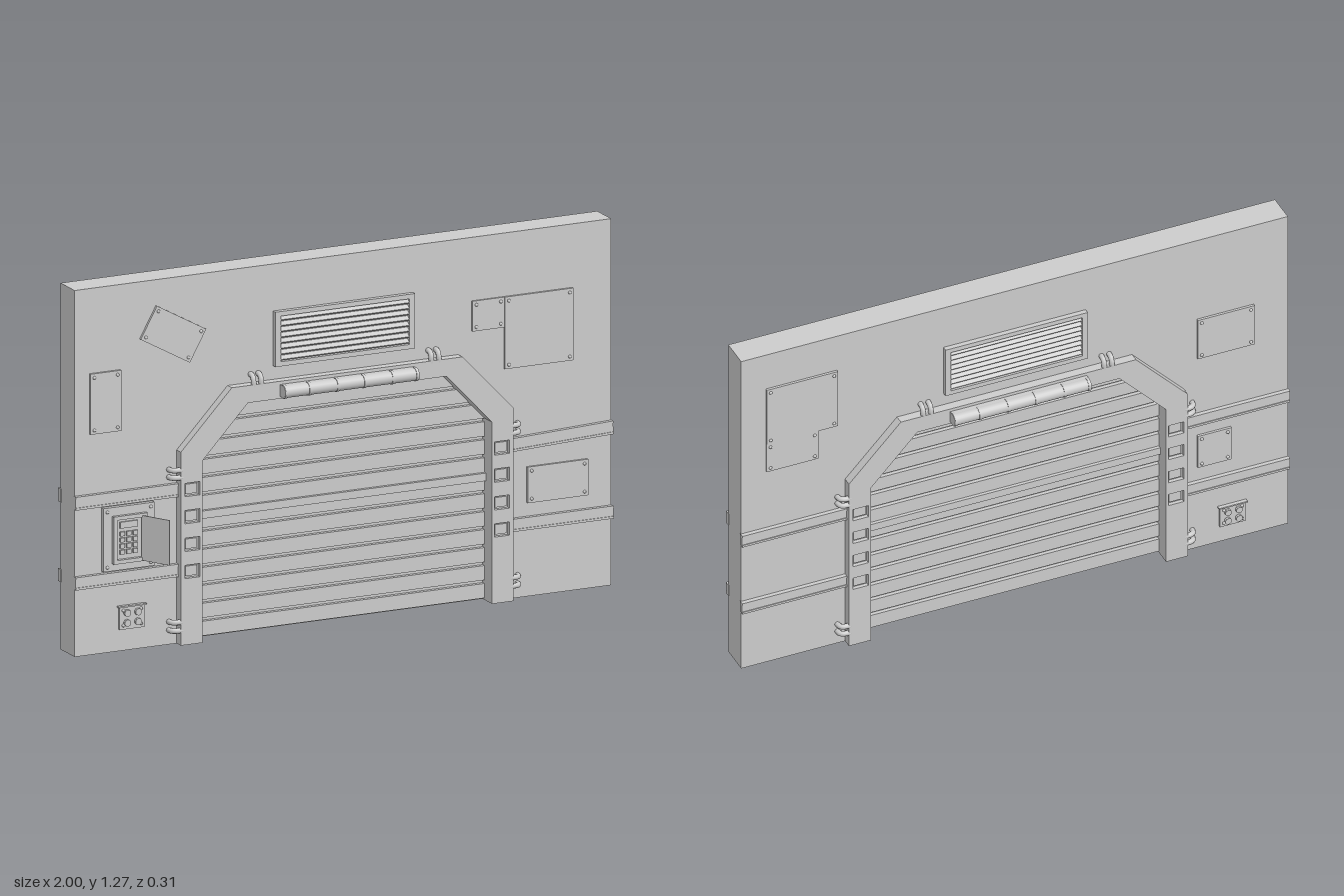
import * as THREE from 'three';

const MAT = new THREE.MeshStandardMaterial({ color: 0xcccccc, flatShading: true });
const SMOOTH = new THREE.MeshStandardMaterial({ color: 0xcccccc });

// Half-depths measured from the wall's middle plane
const WALL = 0.0525, FRAME = 0.0845, DOOR = 0.027, H = 1.27;

const OUTER = [[-0.62, 0], [-0.62, 0.67], [-0.43, 0.87], [0.43, 0.87], [0.62, 0.67], [0.62, 0]];
const INNER = [[0.54, 0], [0.54, 0.63], [0.37, 0.81], [-0.37, 0.81], [-0.54, 0.63], [-0.54, 0]];

function add(parent, name, geo, x = 0, y = 0, z = 0, mat = MAT) {
  const m = new THREE.Mesh(geo, mat);
  m.name = name;
  m.position.set(x, y, z);
  parent.add(m);
  return m;
}

// Box given by its x, y and z limits
function box(parent, name, x0, x1, y0, y1, z0, z1) {
  return add(parent, name, new THREE.BoxGeometry(x1 - x0, y1 - y0, z1 - z0),
    (x0 + x1) / 2, (y0 + y1) / 2, (z0 + z1) / 2);
}

const shapeOf = pts => new THREE.Shape(pts.map(p => new THREE.Vector2(p[0], p[1])));
const rect = (x0, x1, y0, y1) => [[x0, y0], [x1, y0], [x1, y1], [x0, y1]];
const extrude = (shape, depth) => new THREE.ExtrudeGeometry(shape, { depth, bevelEnabled: false });

function bolt(parent, x, y, z, r = 0.006) {
  const b = add(parent, 'bolt', new THREE.SphereGeometry(r, 8, 4, 0, Math.PI * 2, 0, Math.PI / 2), x, y, z, SMOOTH);
  b.rotation.x = Math.PI / 2;
}

// Thin cover plate with a bolt in each corner
function plate(parent, name, x0, x1, y0, y1, angle = 0, thick = 0.009) {
  const g = new THREE.Group(), w = (x1 - x0) / 2, h = (y1 - y0) / 2;
  g.name = name;
  g.position.set((x0 + x1) / 2, (y0 + y1) / 2, WALL);
  g.rotation.z = angle;
  box(g, 'cover', -w, w, -h, h, -0.005, thick);
  for (const i of [-1, 1]) for (const j of [-1, 1]) bolt(g, i * (w - 0.014), j * (h - 0.014), thick);
  parent.add(g);
}

// Small socket: raised plate, four big studs and a lip above
function socket(parent, x, y) {
  plate(parent, 'socketPlate', x - 0.047, x + 0.047, y - 0.04, y + 0.04);
  for (const i of [-1, 1]) for (const j of [-1, 1]) {
    const s = add(parent, 'socketStud', new THREE.CylinderGeometry(0.012, 0.012, 0.014, 10),
      x + i * 0.02, y + j * 0.017, WALL + 0.012);
    s.rotation.x = Math.PI / 2;
  }
  box(parent, 'socketLip', x - 0.052, x + 0.052, y + 0.037, y + 0.042, WALL, WALL + 0.014);
}

// Short cable running out of the frame edge and bending into the wall
function cable(parent, x, y, dx, dy) {
  const p = (o, z) => new THREE.Vector3(x + dx * o, y + dy * o, z);
  const path = new THREE.CatmullRomCurve3([p(-0.01, 0.076), p(0.014, 0.076), p(0.026, 0.068), p(0.03, 0.045)]);
  add(parent, 'cable', new THREE.TubeGeometry(path, 10, 0.0095, 8), 0, 0, 0, SMOOTH);
}

// Half-width of the opening at height y
const halfWidth = y => y < 0.63 ? 0.545 : 0.545 - (y - 0.63) * 0.17 / 0.18;

// Everything that both faces of the wall share
function makeFace(name) {
  const g = new THREE.Group();
  g.name = name;

  // Door frame: solid core and a front skin with square recesses
  add(g, 'frameCore', extrude(shapeOf([...OUTER, ...INNER]), FRAME - 0.014));
  const skin = shapeOf([...OUTER, ...INNER]);
  for (const s of [-1, 1]) for (const y of [0.253, 0.347, 0.443, 0.537]) {
    const x = s * 0.577;
    skin.holes.push(new THREE.Path(rect(x - 0.028, x + 0.028, y - 0.023, y + 0.023).map(p => new THREE.Vector2(...p))));
    box(g, 'recessPad', x - 0.022, x + 0.022, y - 0.017, y + 0.017, 0.06, FRAME - 0.009);
  }
  add(g, 'frameSkin', extrude(skin, 0.014), 0, 0, FRAME - 0.014);

  // Shutter slats, narrowing under the sloped corners
  const pitch = 0.0623;
  for (let i = 0; i < 13; i++) {
    const y0 = i * pitch + 0.006, y1 = (i + 1) * pitch - 0.006;
    const a = halfWidth(y0), b = halfWidth(y1);
    const pts = [[-a, y0], [a, y0]];
    if (y0 < 0.63 && y1 > 0.63) pts.push([a, 0.63]);
    pts.push([b, y1], [-b, y1]);
    if (y0 < 0.63 && y1 > 0.63) pts.push([-a, 0.63]);
    add(g, 'shutterSlat', extrude(shapeOf(pts), 0.014), 0, 0, DOOR - 0.014);
  }
  box(g, 'shutterBar', -0.545, 0.545, 0.415, 0.442, 0, DOOR + 0.012);

  // Lamp tube above the door
  const lampY = 0.838, lampZ = 0.104;
  const lamp = add(g, 'lampTube', new THREE.CylinderGeometry(0.0215, 0.0215, 0.5, 20), 0, lampY, lampZ, SMOOTH);
  lamp.rotation.z = Math.PI / 2;
  box(g, 'lampBase', -0.25, 0.25, lampY - 0.021, lampY + 0.021, FRAME - 0.01, lampZ);
  for (const x of [-0.244, -0.155, -0.05, 0.05, 0.155, 0.244]) {
    const ring = add(g, 'lampClamp', new THREE.CylinderGeometry(0.0235, 0.0235, 0.01, 20), x, lampY, lampZ, SMOOTH);
    ring.rotation.z = Math.PI / 2;
  }

  // Louvred vent
  const rim = shapeOf(rect(-0.26, 0.26, 0.917, 1.107));
  rim.holes.push(new THREE.Path(rect(-0.24, 0.24, 0.933, 1.091).map(p => new THREE.Vector2(...p))));
  add(g, 'ventRim', extrude(rim, 0.018), 0, 0, WALL);
  for (let i = 0; i < 8; i++) {
    const s = add(g, 'ventLouvre', new THREE.BoxGeometry(0.484, 0.005, 0.018), 0, 0.943 + i * 0.0197, WALL + 0.007);
    s.rotation.x = 0.6;
  }

  // Cables around the frame
  for (const s of [-1, 1]) {
    for (const y of [0.05, 0.079, 0.58, 0.606]) cable(g, s * 0.62, y, s, 0);
    for (const x of [0.317, 0.345]) cable(g, s * x, 0.87, 0, 1);
  }
  return g;
}

// Horizontal rail running from the frame to the wall's end, with lipped edges
function rail(parent, s, y0, y1, tilt = 0) {
  const g = new THREE.Group();
  g.name = 'wallRail';
  g.position.set(s * 0.61, (y0 + y1) / 2, 0);
  g.rotation.z = tilt;
  const h = (y1 - y0) / 2, x0 = s > 0 ? 0 : -0.392, x1 = s > 0 ? 0.392 : 0;
  box(g, 'railBody', x0, x1, -h, h, WALL - 0.005, WALL + 0.012);
  for (const j of [-1, 1]) box(g, 'railLip', x0, x1, j * h - 0.004, j * h + 0.004, WALL - 0.005, WALL + 0.015);
  parent.add(g);
}

// Control box with keypad and an open hinged lid
function controlBox(parent) {
  const g = new THREE.Group();
  g.name = 'controlBox';
  plate(g, 'controlBase', -0.9, -0.71, 0.285, 0.505, 0, 0.016);
  const z = WALL + 0.016;
  const rim = shapeOf(rect(-0.868, -0.742, 0.31, 0.475));
  rim.holes.push(new THREE.Path(rect(-0.855, -0.755, 0.323, 0.462).map(p => new THREE.Vector2(...p))));
  add(g, 'controlRim', extrude(rim, 0.013), 0, 0, z);
  for (let r = 0; r < 4; r++) for (let c = 0; c < 3; c++)
    box(g, 'key', -0.84 + c * 0.024, -0.823 + c * 0.024, 0.34 + r * 0.021, 0.355 + r * 0.021, z, z + 0.007);
  box(g, 'display', -0.84, -0.775, 0.43, 0.452, z, z + 0.006);
  const lid = new THREE.Group();
  lid.name = 'controlLid';
  lid.position.set(-0.762, 0.39, z + 0.008);
  lid.rotation.y = 0.5;
  box(lid, 'lidPanel', -0.002, 0.002, -0.078, 0.078, 0, 0.114);
  g.add(lid);
  parent.add(g);
}

export function createModel() {
  const root = new THREE.Group();
  root.name = 'shutterDoorWall';
  const body = new THREE.Group();
  body.name = 'wallAndDoor';
  body.position.z = -0.0275;
  root.add(body);

  // Wall with the door opening cut out, and the shutter's core
  const ring = [[-1, 0], [-1, H], [1, H], [1, 0], ...INNER];
  add(body, 'wall', extrude(shapeOf(ring), WALL * 2), 0, 0, -WALL);
  add(body, 'shutterCore', extrude(shapeOf(INNER), 0.026), 0, 0, -0.013);

  // Front face
  const front = makeFace('frontFace');
  for (const s of [-1, 1]) {
    rail(front, s, 0.515, 0.553, s > 0 ? 0.04 : 0);
    rail(front, s, 0.238, 0.274);
  }
  plate(front, 'tiltedPlate', -0.741, -0.531, 1.0125, 1.1375, -0.51);
  plate(front, 'sidePlate', -0.945, -0.83, 0.765, 0.975);
  plate(front, 'largePlate', 0.6, 0.855, 0.8, 1.05);
  plate(front, 'smallPlate', 0.48, 0.599, 0.945, 1.05, 0, 0.007);
  plate(front, 'lowerPlate', 0.685, 0.91, 0.325, 0.45);
  socket(front, -0.79, 0.115);
  controlBox(front);
  body.add(front);

  // Back face, turned around (its local x is reversed)
  const back = makeFace('backFace');
  back.rotation.y = Math.PI;
  for (const s of [-1, 1]) {
    rail(back, s, 0.515, 0.553);
    rail(back, s, 0.238, 0.274);
  }
  plate(back, 'largePlate', -0.91, -0.65, 0.905, 1.13);
  plate(back, 'smallPlate', -0.91, -0.72, 0.79, 0.904, 0, 0.007);
  plate(back, 'sidePlate', 0.667, 0.875, 0.785, 0.945);
  plate(back, 'lowerPlate', 0.667, 0.79, 0.335, 0.465);
  socket(back, 0.795, 0.105);
  body.add(back);

  return root;
}
